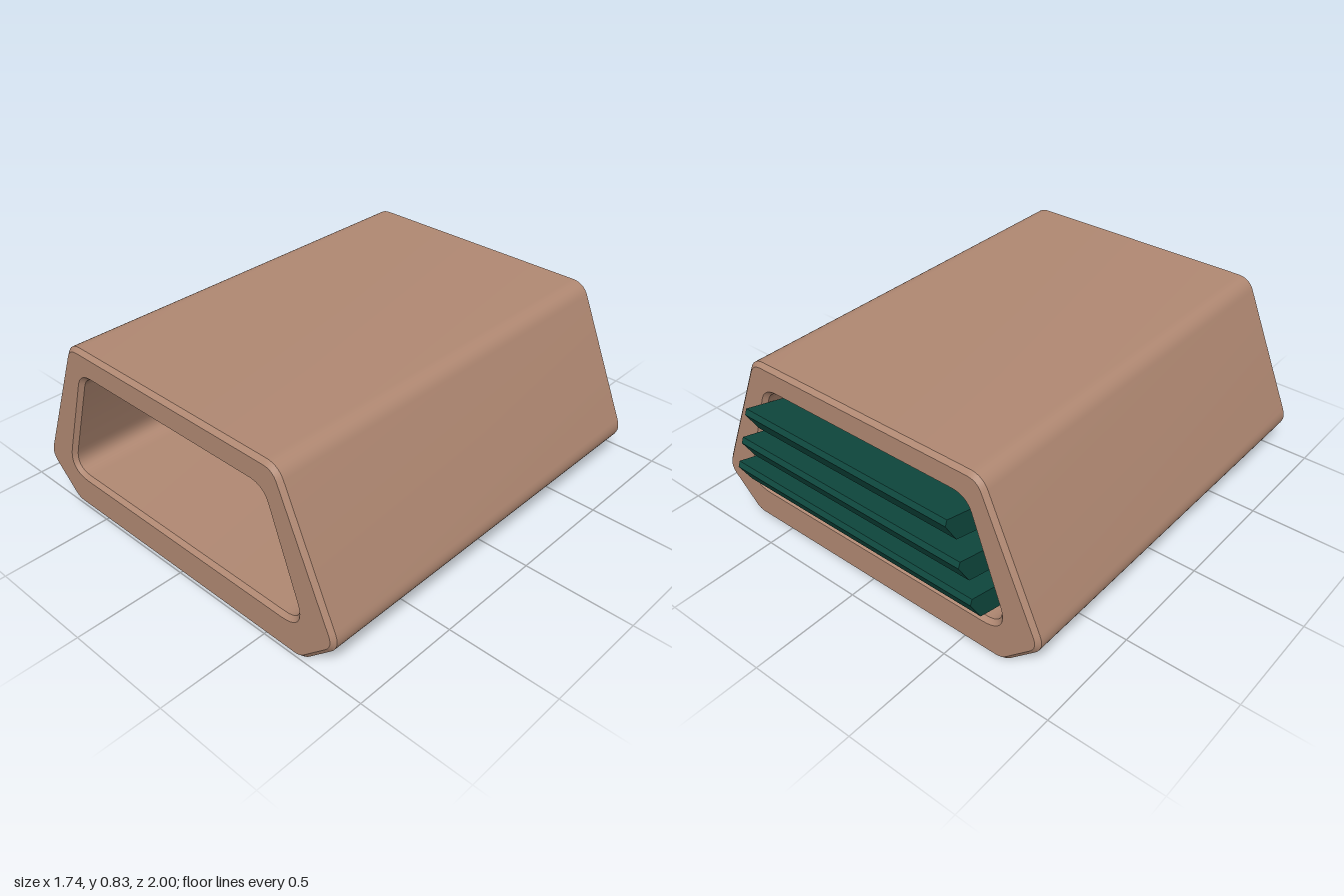
import * as THREE from 'three';
import { toCreasedNormals } from 'three/addons/utils/BufferGeometryUtils.js';

// Adds a closed outline with rounded corners to a Shape or Path
function roundedOutline(path, corners, radius) {
  const pts = corners.map(([x, y]) => new THREE.Vector2(x, y));
  const n = pts.length;
  pts.forEach((p, i) => {
    const toPrev = pts[(i + n - 1) % n].clone().sub(p).normalize();
    const toNext = pts[(i + 1) % n].clone().sub(p).normalize();
    const half = Math.acos(toPrev.dot(toNext)) / 2;
    const reach = radius / Math.tan(half);
    const a = p.clone().addScaledVector(toPrev, reach);
    const b = p.clone().addScaledVector(toNext, reach);
    if (i === 0) path.moveTo(a.x, a.y);
    else path.lineTo(a.x, a.y);
    path.quadraticCurveTo(p.x, p.y, b.x, b.y);
  });
  path.closePath();
  return path;
}

// Mirrors right-hand corners (listed bottom to top) into a full outline
const mirrored = (half) => [...half, ...half.slice().reverse().map(([x, y]) => [-x, y])];

const OUTER = mirrored([[0.70, 0], [0.885, 0.175], [0.60, 0.835]]);
const INNER = mirrored([[0.71, 0.172], [0.525, 0.708]]);

export function createModel() {
  const model = new THREE.Group();
  model.name = 'ventHousing';
  const shellMat = new THREE.MeshStandardMaterial({ color: 0xb08872 });
  const slatMat = new THREE.MeshStandardMaterial({ color: 0x0f4a40 });

  const add = (name, geometry, material) => {
    const mesh = new THREE.Mesh(toCreasedNormals(geometry, 0.5), material);
    mesh.name = name;
    model.add(mesh);
    return mesh;
  };

  // Hollow shell with chamfered rims, z from -0.89 to 1
  const chamfer = 0.018;
  const shellShape = roundedOutline(new THREE.Shape(), OUTER, 0.09);
  shellShape.holes.push(roundedOutline(new THREE.Path(), INNER, 0.08));
  const shell = new THREE.ExtrudeGeometry(shellShape, {
    depth: 1.89 - 2 * chamfer, curveSegments: 8,
    bevelEnabled: true, bevelSegments: 1,
    bevelThickness: chamfer, bevelSize: chamfer, bevelOffset: -chamfer,
  });
  shell.translate(0, 0, -0.89 + chamfer);
  add('shell', shell, shellMat);

  // Wall closing the cavity in front of the slats
  const wall = new THREE.ExtrudeGeometry(roundedOutline(new THREE.Shape(), INNER, 0.08), {
    depth: 0.04, curveSegments: 8, bevelEnabled: false,
  });
  wall.translate(0, 0, -0.76);
  add('innerWall', wall, shellMat);

  // Tilted slats at the back: profile runs backward, then up
  const profile = [[0.75, -0.035], [0.89, 0], [0.99, 0.025], [1, 0], [0.945, -0.095], [0.89, -0.11], [0.75, -0.145]];
  [[0.655, 0.535], [0.49, 0.59], [0.342, 0.642]].forEach(([y, halfWidth], i) => {
    const shape = new THREE.Shape(profile.map(([back, up]) => new THREE.Vector2(back, up)));
    const slat = new THREE.ExtrudeGeometry(shape, { depth: 2 * halfWidth, bevelEnabled: false });
    slat.translate(0, 0, -halfWidth);
    slat.rotateY(Math.PI / 2);
    add(`slat${i + 1}`, slat, slatMat).position.y = y;
  });

  return model;
}
